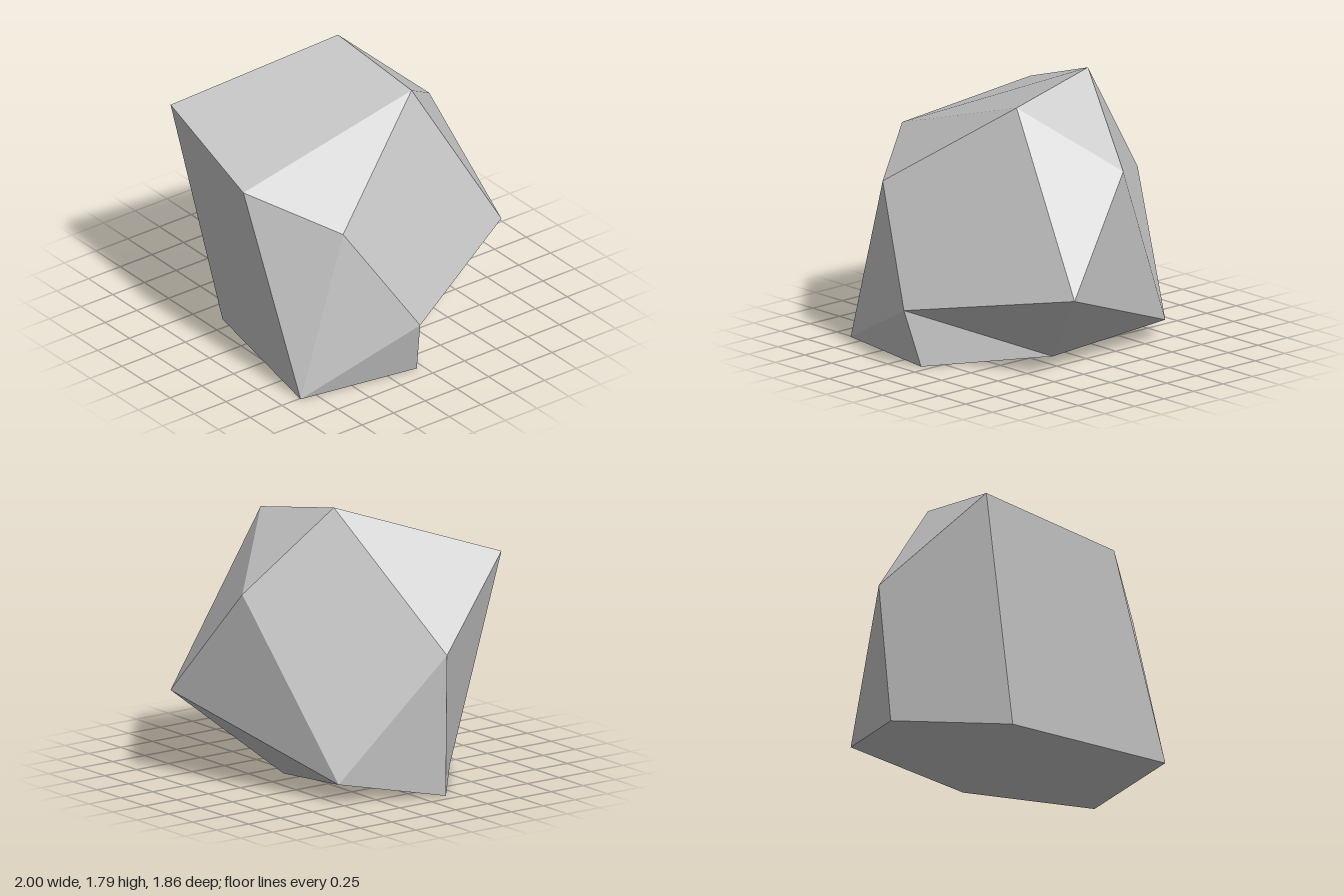
import * as THREE from 'three';

// Corners of the boulder, from the crown (A, B) down to the foot (K to P)
const corners = {
  A: [-0.27, 1.79, -0.22], B: [0.4, 1.67, -0.29],
  C: [-0.69, 1.44, 0.78], D: [0.26, 1.29, 0.93], E: [0.78, 1.09, 0.54],
  H: [-0.06, 1.27, -0.78], G: [-1, 0.93, 0.12],
  I: [0.49, 0.56, -0.93], F: [1, 0.38, 0.1], J: [-0.68, 0.12, -0.49],
  K: [0.76, 0, 0.86], L: [0.9, 0.005, 0.05], M: [0.12, 0, -0.32],
  N: [-0.337, 0, 0.64], P: [-0.935, 0, 0.16],
};

// Facets as counter-clockwise corner loops; four-sided ones split from their first corner
const facets = [
  'ACDB', 'ABH', 'AGC', 'BDE', 'BIH', // crown
  'NKDC', 'DKE', 'KFE', 'KLF', // front
  'BEFI', 'FLM', 'FMI', // left flank
  'HJGA', 'IJH', 'IMJ', // back
  'GPNC', 'GJP', // right flank
  'KNML', 'MNPJ', // underside
];

// Each facet gets one flat normal, even where its four corners are not quite level
function facetedGeometry() {
  const positions = [];
  const normals = [];
  for (const facet of facets) {
    const loop = [...facet].map((name) => new THREE.Vector3(...corners[name]));
    const last = loop[loop.length - 1];
    const normal = loop[2].clone().sub(loop[0])
      .cross(last.clone().sub(loop[1]));
    if (loop.length === 3) {
      normal.crossVectors(loop[1].clone().sub(loop[0]), loop[2].clone().sub(loop[0]));
    }
    normal.normalize();
    for (let i = 1; i < loop.length - 1; i++) {
      for (const corner of [loop[0], loop[i], loop[i + 1]]) {
        positions.push(...corner.toArray());
        normals.push(...normal.toArray());
      }
    }
  }
  const geometry = new THREE.BufferGeometry();
  geometry.setAttribute('position', new THREE.Float32BufferAttribute(positions, 3));
  geometry.setAttribute('normal', new THREE.Float32BufferAttribute(normals, 3));
  return geometry;
}

export function createModel() {
  const stone = new THREE.MeshStandardMaterial({ color: 0xc7c7c7 });
  stone.name = 'stoneGrey';

  const boulder = new THREE.Mesh(facetedGeometry(), stone);
  boulder.name = 'boulder';

  const group = new THREE.Group();
  group.name = 'rock';
  group.add(boulder);
  return group;
}
